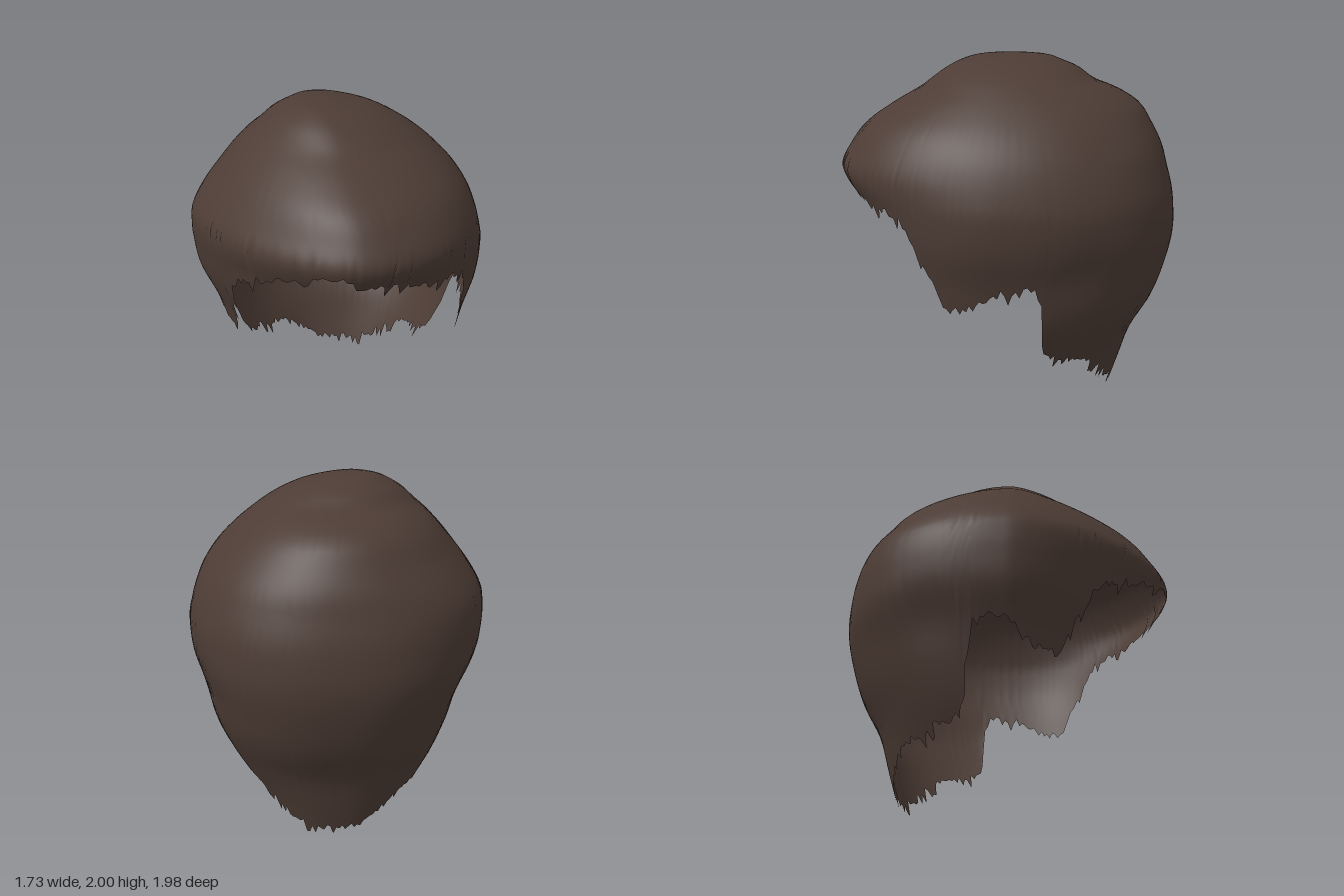
import * as THREE from 'three';

// Outline of the hair shell by height: [y, front z, back z, right x, left x]
const OUTLINE = [
  [2.0, 0.001, 0.001, -0.101, -0.099], [1.988, 0.18, 0.22, -0.24, 0.03],
  [1.96, 0.28, 0.31, -0.31, 0.17], [1.92, 0.36, 0.41, -0.38, 0.28],
  [1.85, 0.46, 0.51, -0.46, 0.41], [1.8, 0.53, 0.64, -0.52, 0.48],
  [1.72, 0.67, 0.77, -0.6, 0.58], [1.6, 0.84, 0.85, -0.7, 0.7],
  [1.48, 0.93, 0.91, -0.79, 0.78], [1.37, 0.985, 0.94, -0.85, 0.825],
  [1.28, 0.955, 0.965, -0.86, 0.85], [1.2, 0.9, 0.98, -0.86, 0.865],
  [1.0, 0.83, 0.99, -0.83, 0.85], [0.8, 0.8, 0.95, -0.74, 0.79],
  [0.6, 0.78, 0.88, -0.68, 0.74], [0.4, 0.75, 0.77, -0.61, 0.65],
  [0.2, 0.7, 0.71, -0.5, 0.53], [0, 0.6, 0.65, -0.42, 0.45],
].map(([y, ...v]) => [Math.sqrt(2 - y), ...v]);

// Hem height by angle in degrees from the front: [angle, left, right]
const HEM = [
  [0, 1.27, 1.3], [8, 1.25, 1.31], [14, 1.24, 1.28], [26, 1.19, 1.23], [36, 1.18, 1.18],
  [45, 1.17, 1.13], [51, 1.12, 1.07], [56, 0.98, 0.94], [62, 0.8, 0.8], [66, 0.65, 0.66],
  [70, 0.68, 0.68], [78, 0.69, 0.69], [84, 0.74, 0.75], [90, 0.78, 0.81], [104, 0.79, 0.83],
  [107, 0.66, 0.68], [110, 0.42, 0.42], [116, 0.34, 0.35], [135, 0.28, 0.28],
  [146, 0.21, 0.24], [158, 0.09, 0.17], [170, 0.06, 0.07], [180, 0.04, 0.04],
];

// Smooth interpolation through a table keyed on its first column
function sample(table, u, k) {
  let i = 0;
  while (i < table.length - 2 && u > table[i + 1][0]) i++;
  const slope = (n) => {
    const a = table[Math.max(n - 1, 0)], b = table[Math.min(n + 1, table.length - 1)];
    return (b[k] - a[k]) / (b[0] - a[0]);
  };
  const p = table[i], q = table[i + 1], d = q[0] - p[0];
  const t = Math.min(Math.max((u - p[0]) / d, 0), 1), t2 = t * t, t3 = t2 * t;
  return (2 * t3 - 3 * t2 + 1) * p[k] + (t3 - 2 * t2 + t) * d * slope(i)
    + (3 * t2 - 2 * t3) * q[k] + (t3 - t2) * d * slope(i + 1);
}

// Point on the shell at a given angle and height
function shellPoint(phi, y) {
  const u = Math.sqrt(2 - y);
  const [front, back, xr, xl] = [1, 2, 3, 4].map((k) => sample(OUTLINE, u, k));
  const s = Math.sin(phi), c = Math.cos(phi);
  const half = (xl - xr) / 2, depth = c > 0 ? front : back;
  // The front is pointed, more so on the right; the back is full, rounder near the crown
  const brow = Math.exp(-(((y - 1.4) / 0.28) ** 2));
  const frontPower = 1.76 + 0.08 * s - 0.02 * brow + 0.21 * s * (1 - brow);
  const p = c > 0 ? frontPower : 2.3 - 0.2 * THREE.MathUtils.smoothstep(y, 1.3, 1.65);
  let r = (Math.abs(s / half) ** p + Math.abs(c / depth) ** p) ** (-1 / p);
  // Shallow groove behind each ear
  r *= 1 - 0.015 * Math.exp(-(((Math.abs(s) - 0.9) / 0.12) ** 2) - ((y - 0.9) / 0.15) ** 2) * (c < 0 ? c * c * 5 : 0);
  const shift = 0.09 * brow * Math.max(c, 0) ** 2;
  return [(xl + xr) / 2 + shift + r * s, y, r * c];
}

function seeded(seed) {
  return () => (seed = (seed * 16807) % 2147483647) / 2147483647;
}

export function createModel() {
  const rand = seeded(417);
  const cols = 240, rows = 44, index = [];
  const pos = [-0.1, 2, 0]; // crown point shared by all columns
  for (let i = 0; i < cols; i++) {
    const phi = (i / cols) * Math.PI * 2;
    const deg = (i / cols) * 360;
    // Ragged lock ends along the hem
    const jag = (rand() - 0.5) * 0.05 + (rand() > 0.88 ? -0.06 : 0);
    const edge = deg < 180 ? sample(HEM, deg, 1) : sample(HEM, 360 - deg, 2);
    const hem = Math.max(edge + jag, 0);
    for (let j = 1; j <= rows; j++) {
      pos.push(...shellPoint(phi, 2 - (2 - hem) * (j / rows) ** 1.7));
    }
  }
  const id = (i, j) => (j ? 1 + (i % cols) * rows + j - 1 : 0);
  for (let i = 0; i < cols; i++) {
    for (let j = 0; j < rows; j++) {
      if (j > 0) index.push(id(i, j), id(i, j + 1), id(i + 1, j));
      index.push(id(i, j + 1), id(i + 1, j + 1), id(i + 1, j));
    }
  }
  const geometry = new THREE.BufferGeometry();
  geometry.setAttribute('position', new THREE.Float32BufferAttribute(pos, 3));
  geometry.setIndex(index);
  geometry.computeVertexNormals();

  const darkBrown = new THREE.MeshStandardMaterial({ color: 0x4d3c35, side: THREE.DoubleSide });
  darkBrown.name = 'darkBrown';
  const hair = new THREE.Mesh(geometry, darkBrown);
  hair.name = 'hairShell';

  const group = new THREE.Group();
  group.name = 'hair';
  group.add(hair);
  return group;
}
